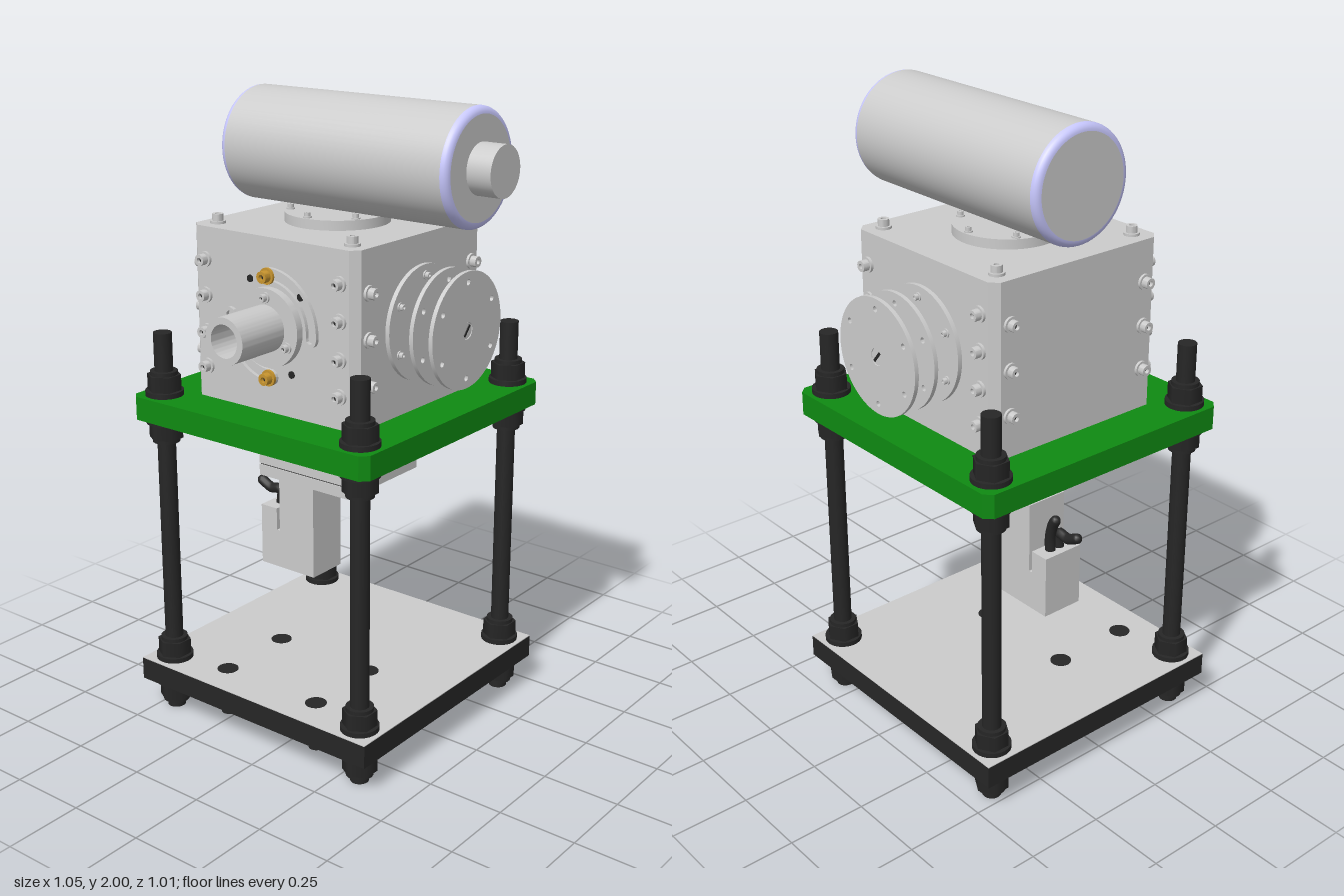
import * as THREE from 'three';
import { toCreasedNormals } from 'three/addons/utils/BufferGeometryUtils.js';

const paint = (color) => new THREE.MeshStandardMaterial({ color });
const GREY = paint(0xcccccc), BLACK = paint(0x262626), GREEN = paint(0x0f8a12);
const GOLD = paint(0xc8952f), BLUE = paint(0x2a9cc4), LILAC = paint(0xc8c8ff);
const CX = -0.07, CY = 1.348, CZ = -0.023; // centre of the gearbox

function add(parent, name, geo, mat, x = 0, y = 0, z = 0) {
  const m = new THREE.Mesh(geo, mat);
  m.name = name;
  m.position.set(x, y, z);
  parent.add(m);
  return m;
}
const box = (w, h, d) => new THREE.BoxGeometry(w, h, d);
const rod = (r, h, sides = 32) => new THREE.CylinderGeometry(r, r, h, sides);
const rodZ = (r, h, sides = 24) => rod(r, h, sides).rotateX(Math.PI / 2).translate(0, 0, h / 2);
const extrude = (shape, depth) => toCreasedNormals(new THREE.ExtrudeGeometry(shape,
  { depth, bevelEnabled: false, curveSegments: 40 }), 0.5);
const polar = (r, a) => [r * Math.cos(a), r * Math.sin(a)];

// Round plate facing +z; holes are [x, y, radius]
function plate(r, depth, holes = []) {
  const s = new THREE.Shape().absarc(0, 0, r, 0, Math.PI * 2);
  for (const [x, y, hr] of holes) s.holes.push(new THREE.Path().absarc(x, y, hr, 0, Math.PI * 2, true));
  return extrude(s, depth);
}

// Rectangle with cut corners, standing along y
function chamferedBlock(w, d, h, c) {
  const a = w / 2, b = d / 2;
  const pts = [[a - c, -b], [a, c - b], [a, b - c], [a - c, b], [c - a, b], [-a, b - c], [-a, c - b], [c - a, -b]];
  return extrude(new THREE.Shape(pts.map((p) => new THREE.Vector2(...p))), h).rotateX(-Math.PI / 2);
}

// Socket screw with washer, pointing along +z
function bolt(parent, x, y, z = 0, scale = 1, mat = GREY) {
  const g = new THREE.Group();
  g.name = 'bolt';
  add(g, 'washer', rodZ(0.024, 0.008), mat);
  add(g, 'boltHead', plate(0.017, 0.029, [[0, 0, 0.008]]), mat);
  add(g, 'socketFloor', rodZ(0.009, 0.018, 6), BLACK);
  g.position.set(x, y, z);
  g.scale.setScalar(scale);
  parent.add(g);
}

// Group whose local +z points out of a gearbox face
function face(parent, name, x, y, z, rx, ry) {
  const g = new THREE.Group();
  g.name = name;
  g.position.set(x, y, z);
  g.rotation.set(rx, ry, 0);
  parent.add(g);
  return g;
}

function boltColumns(g, rows) {
  for (const x of [-0.257, 0.257]) for (const y of rows) bolt(g, x, y);
}

const six = [...Array(6)].map((_, i) => polar(0.145, Math.PI / 6 + i * Math.PI / 3));

function flange(g, r, depth) {
  add(g, 'flange', plate(r, depth), GREY);
  for (const [x, y] of six) bolt(g, x, y, depth, 0.55);
}

// Thin loose cover discs in front of a flange
function coverDiscs(g) {
  for (const z of [0.085, 0.153]) {
    add(g, 'coverDisc', plate(0.177, 0.013, [[0, 0, 0.026], ...six.map((p) => [...p, 0.009])]), GREY, 0, 0, z);
    add(g, 'discHub', rodZ(0.025, 0.011), GREY, 0, 0, z);
    add(g, 'hubSlot', box(0.008, 0.04, 0.014), BLACK, 0, 0, z + 0.0065).rotation.z = -0.7;
  }
}

// Curved lobe with an arc slot, starting at angle a0 and running clockwise
function slottedLobe(a0) {
  const a1 = a0 - 1.65, r = 0.155;
  const band = (path, w, cw) => {
    const c0 = polar(r, a0), c1 = polar(r, a1);
    path.absarc(0, 0, r + w, a1, a0, false);
    path.absarc(...c0, w, a0, a0 + Math.PI, false);
    path.absarc(0, 0, r - w, a0, a1, true);
    path.absarc(...c1, w, a1 + Math.PI, a1 + 2 * Math.PI, false);
    return path;
  };
  const s = band(new THREE.Shape(), 0.024);
  s.holes.push(band(new THREE.Path(), 0.013));
  return extrude(s, 0.012);
}

function buildGearbox(root) {
  const g = new THREE.Group();
  g.name = 'gearbox';
  root.add(g);
  add(g, 'housing', chamferedBlock(0.63, 0.632, 0.535, 0.025), GREY, CX, 1.08, CZ);
  const H = Math.PI / 2, rows4 = [0.167, 0.057, -0.057, -0.167], rows3 = [0.138, 0, -0.138];

  const front = face(g, 'frontFace', CX, CY, CZ + 0.316, 0, 0);
  boltColumns(front, rows4);
  add(front, 'shaftFlange', plate(0.12, 0.025), GREY);
  for (const a of [H, H + 2.094, H - 2.094]) bolt(front, ...polar(0.093, a), 0.025, 0.7);
  for (const a of [H, -H]) {
    add(front, 'slottedLobe', slottedLobe(a), GREY);
    bolt(front, ...polar(0.155, a), 0.012, 1.05, GOLD);
  }
  for (const a of [0.75, -1.05, 2.1, 3.9]) add(front, 'screwHole', rodZ(0.011, 0.004), BLACK, ...polar(0.155, a));
  // Hollow output shaft with a coloured insert
  add(front, 'outputShaft', plate(0.071, 0.207, [[0, 0, 0.05]]), GREY);
  add(front, 'shaftInsert', plate(0.05, 0.1, [[0, 0, 0.018]]), BLUE);
  add(front, 'insertCore', rodZ(0.019, 0.09, 4), GREY);

  const back = face(g, 'backFace', CX, CY, CZ - 0.316, 0, Math.PI);
  boltColumns(back, rows4);
  flange(back, 0.177, 0.014);
  coverDiscs(back);

  const left = face(g, 'leftFace', CX + 0.315, CY, CZ, 0, H);
  boltColumns(left, rows3);
  flange(left, 0.177, 0.014);
  coverDiscs(left);

  boltColumns(face(g, 'rightFace', CX - 0.315, CY, CZ, 0, -H), rows3);

  const top = face(g, 'topFace', CX, 1.615, CZ, -H, 0);
  boltColumns(top, [-0.257, 0.257]);
  flange(top, 0.162, 0.03);
  boltColumns(face(g, 'undersideBolts', CX, 1.005, CZ, H, 0), [-0.257, 0.257]);
}

// Large horizontal drum with soft rims and an end stub
function buildDrum(root) {
  const g = new THREE.Group();
  g.name = 'drum';
  g.position.set(0.0275, 1.825, CZ);
  g.rotation.z = -Math.PI / 2;
  root.add(g);
  const r = 0.175, f = 0.022, half = 0.4175;
  add(g, 'drumBody', new THREE.CylinderGeometry(r, r, 2 * (half - f), 64, 1, true), GREY);
  const arc = [...Array(7)].map((_, i) => {
    const a = i / 6 * Math.PI / 2;
    return new THREE.Vector2(r - f + f * Math.cos(a), half - f + f * Math.sin(a));
  });
  for (const side of [0, Math.PI]) {
    add(g, 'drumRim', new THREE.LatheGeometry(arc, 64), LILAC).rotation.x = side;
    add(g, 'drumEnd', rod(r - f, 0.01, 64), GREY, 0, (side ? -1 : 1) * (half - 0.005), 0);
  }
  add(g, 'drumStub', rod(0.076, 0.08, 48), GREY, 0, half + 0.04, 0);
}

// Plates, threaded posts, nuts and pegs
function buildStand(root) {
  const g = new THREE.Group();
  g.name = 'stand';
  root.add(g);
  add(g, 'upperPlate', chamferedBlock(0.918, 0.918, 0.075, 0.024), GREEN, CX, 1.005, CZ);
  add(g, 'basePlate', box(0.918, 0.073, 0.918), BLACK, CX, 0.1365, CZ);
  add(g, 'basePlateTop', box(0.917, 0.003, 0.917), GREY, CX, 0.174, CZ);
  for (const x of [CX - 0.384, CX + 0.384]) for (const z of [CZ - 0.384, CZ + 0.384]) {
    add(g, 'post', rod(0.029, 1.28), BLACK, x, 0.64, z);
    for (const [y, dir] of [[1.08, 1], [1.005, -1], [0.175, 1], [0.1, -1]]) {
      add(g, 'washer', rod(0.06, 0.016), BLACK, x, y + dir * 0.008, z);
      add(g, 'nut', rod(0.054, 0.05, 6).toNonIndexed(), BLACK, x, y + dir * 0.041, z);
      add(g, 'nutCollar', rod(0.043, 0.012), BLACK, x, y + dir * 0.072, z);
    }
  }
  for (const x of [-0.255, 0.112]) for (const z of [0.055, 0.322]) {
    add(g, 'peg', rod(0.024, 0.08), BLACK, x, 0.062, z);
    add(g, 'pegHole', rod(0.034, 0.004), BLACK, x, 0.1748, z);
  }
}

// Drive hanging under the upper plate
function buildDrive(root) {
  const g = new THREE.Group();
  g.name = 'drive';
  root.add(g);
  add(g, 'reducer', box(0.355, 0.165, 0.36), GREY, CX, 0.9225, CZ);
  add(g, 'reducerSeam', box(0.349, 0.006, 0.354), BLACK, CX, 0.838, CZ);
  add(g, 'reducerBase', box(0.355, 0.036, 0.36), GREY, CX, 0.818, CZ);
  for (let i = 0; i < 4; i++) {
    const side = face(g, 'reducerSide', CX, 0.975, CZ, 0, i * Math.PI / 2);
    for (const x of [-0.122, 0.122]) add(side, 'reducerScrew', rodZ(0.013, 0.006), BLACK, x, 0, i % 2 ? 0.175 : 0.178);
  }
  const under = face(g, 'reducerUnderside', CX, 0.8, CZ, Math.PI / 2, 0);
  for (const x of [-0.145, 0.145]) for (const y of [-0.145, 0.145]) add(under, 'reducerScrew', rodZ(0.015, 0.005), BLACK, x, y);
  add(g, 'motor', box(0.142, 0.36, 0.142), GREY, -0.184, 0.62, -0.016);
  add(g, 'motorStep', box(0.02, 0.13, 0.142), GREY, -0.262, 0.505, -0.016);
  add(g, 'connector', box(0.065, 0.205, 0.142), GREY, -0.3, 0.5425, -0.016);
  for (const x of [-0.3, -0.15]) for (const z of [-0.07, 0.038]) add(g, 'motorScrew', box(0.02, 0.012, 0.02), BLACK, x, 0.445, z);
  // Two short bent cables
  for (const [x, y, z] of [[-0.315, 0.755, -0.035], [-0.375, 0.705, 0]]) {
    const path = new THREE.CatmullRomCurve3([
      new THREE.Vector3(-0.295, 0.63, z), new THREE.Vector3(-0.293, 0.69, z),
      new THREE.Vector3((x - 0.295) / 2, y - 0.018, z), new THREE.Vector3(x, y, z)]);
    const cable = new THREE.TubeGeometry(path, 20, 0.017, 12);
    add(g, 'cable', cable, new THREE.MeshStandardMaterial({ color: 0x262626, side: THREE.DoubleSide }));
    add(g, 'cableTip', new THREE.SphereGeometry(0.0165, 12, 8), BLACK, x, y, z);
  }
}

export function createModel() {
  const root = new THREE.Group();
  root.name = 'gearboxTestStand';
  buildStand(root);
  buildGearbox(root);
  buildDrum(root);
  buildDrive(root);
  return root;
}
